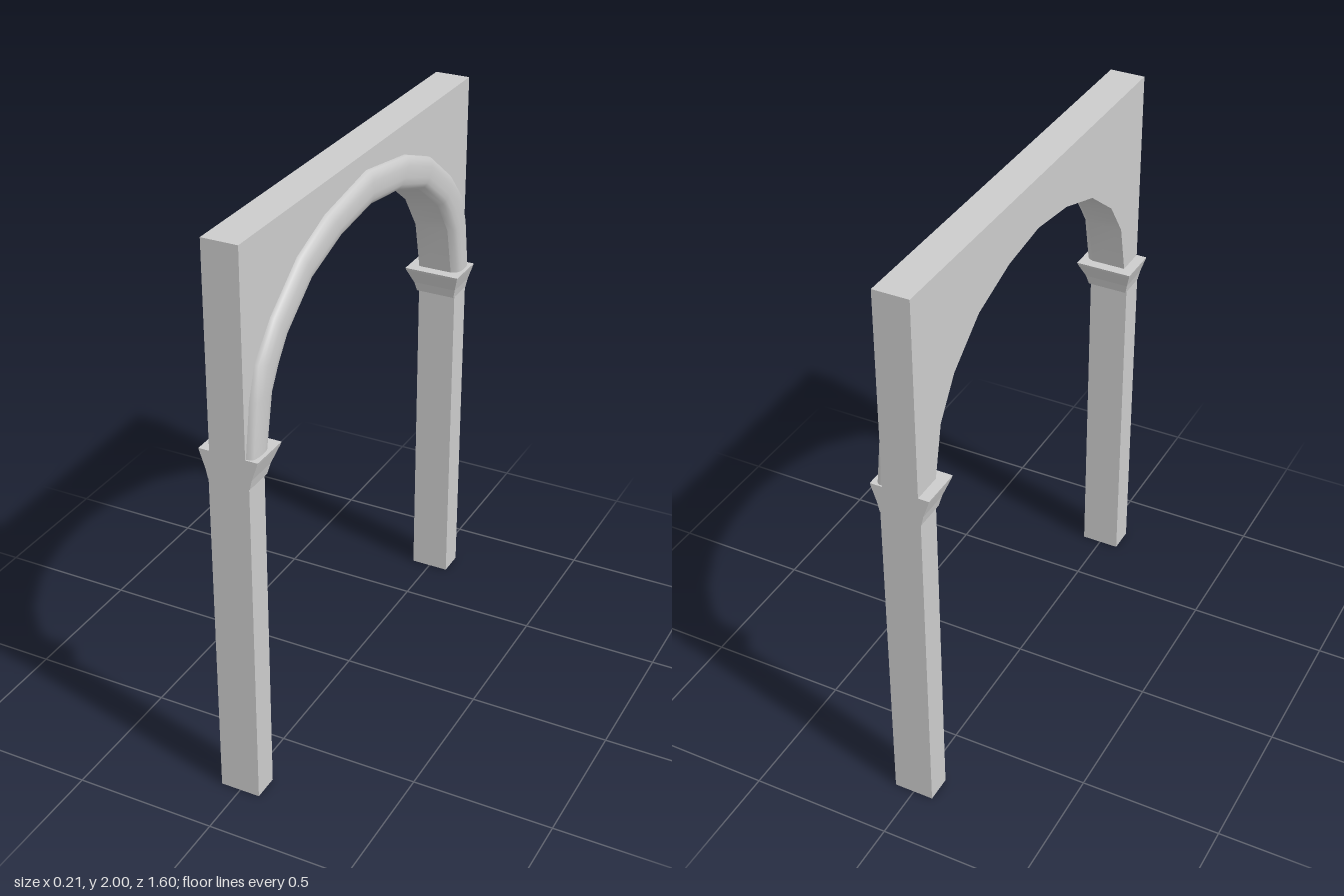
import * as THREE from 'three';
import { toCreasedNormals } from 'three/addons/utils/BufferGeometryUtils.js';

// Half of the arch opening and of the moulding's outer edge as [z, y], springing to crown
const INNER = [[0.69, 1.3], [0.65, 1.48], [0.605, 1.545], [0.56, 1.61], [0.4, 1.73], [0.2, 1.795], [0, 1.82]];
const OUTER = [[0.795, 1.3], [0.767, 1.48], [0.73, 1.59], [0.63, 1.7], [0.46, 1.827], [0.28, 1.895], [0, 1.94]];
const mirror = (half) => [...half, ...half.slice(0, -1).reverse().map(([z, y]) => [-z, y])];

const grey = new THREE.MeshStandardMaterial({ color: 0xcccccc, side: THREE.DoubleSide });
const greyFlat = new THREE.MeshStandardMaterial({ color: 0xcccccc, side: THREE.DoubleSide, flatShading: true });

function mesh(name, geometry, material) {
  const m = new THREE.Mesh(geometry, material);
  m.name = name;
  return m;
}

function indexed(positions, index) {
  const g = new THREE.BufferGeometry();
  g.setAttribute('position', new THREE.Float32BufferAttribute(positions, 3));
  g.setIndex(index);
  g.computeVertexNormals();
  return g;
}

// Rectangular rings [y, half width, inner z], all flush with the outer end at z = 0.8
function loft(rings, capped) {
  const positions = [], index = [];
  rings.forEach(([y, w, z], r) => {
    positions.push(w, y, 0.8, w, y, z, -w, y, z, -w, y, 0.8);
    if (r === 0) return;
    for (let i = 0; i < 4; i++) {
      const a = (r - 1) * 4 + i, b = (r - 1) * 4 + (i + 1) % 4;
      index.push(a, b, b + 4, a, b + 4, a + 4);
    }
  });
  if (capped) {
    const t = (rings.length - 1) * 4;
    index.push(0, 2, 1, 0, 3, 2, t, t + 1, t + 2, t, t + 2, t + 3);
  }
  return toCreasedNormals(indexed(positions, index), 0.1);
}

// Spandrel wall with the arch cut from its lower edge
function wallGeometry() {
  const outline = [[-0.8, 1.3], [-0.8, 2], [0.8, 2], [0.8, 1.3], ...mirror(INNER)];
  const shape = new THREE.Shape(outline.map(([z, y]) => new THREE.Vector2(z, y)));
  const g = new THREE.ExtrudeGeometry(shape, { depth: 0.125, bevelEnabled: false });
  g.rotateY(-Math.PI / 2).translate(0.06, 0, 0);
  return toCreasedNormals(g, 0.6);
}

// Rounded moulding: section [x, share of the way from inner to outer edge] swept along the arch
function mouldingGeometry() {
  const section = [[0.06, 1], [0.074, 0.99], [0.083, 0.92], [0.089, 0.72], [0.09, 0.4], [0.087, 0.22], [0.078, 0.08], [0.06, 0]];
  const inner = mirror(INNER), outer = mirror(OUTER), n = section.length;
  const positions = [], index = [];
  inner.forEach(([zi, yi], s) => {
    const [zo, yo] = outer[s];
    section.forEach(([x, t], k) => {
      positions.push(x, yi + (yo - yi) * t, zi + (zo - zi) * t);
      if (s === 0 || k === 0) return;
      const d = s * n + k, c = d - 1, b = d - n, a = b - 1;
      index.push(a, b, c, b, d, c);
    });
  });
  return toCreasedNormals(indexed(positions, index), 0.8);
}

export function createModel() {
  const model = new THREE.Group();
  model.name = 'archway';
  model.add(mesh('wall', wallGeometry(), grey), mesh('archMoulding', mouldingGeometry(), grey));

  // Open-bottomed shaft and flared capital at either end
  const shaft = loft([[0, 0.071, 0.705], [1.2, 0.071, 0.705]], false);
  const capital = loft([[1.2, 0.073, 0.692], [1.235, 0.081, 0.683], [1.29, 0.1, 0.655], [1.3, 0.103, 0.652]], true);
  for (const [name, turn] of [['frontPillar', 0], ['backPillar', Math.PI]]) {
    const pillar = new THREE.Group();
    pillar.name = name;
    pillar.rotation.y = turn;
    pillar.add(mesh('shaft', shaft, greyFlat), mesh('capital', capital, greyFlat));
    model.add(pillar);
  }
  return model;
}
